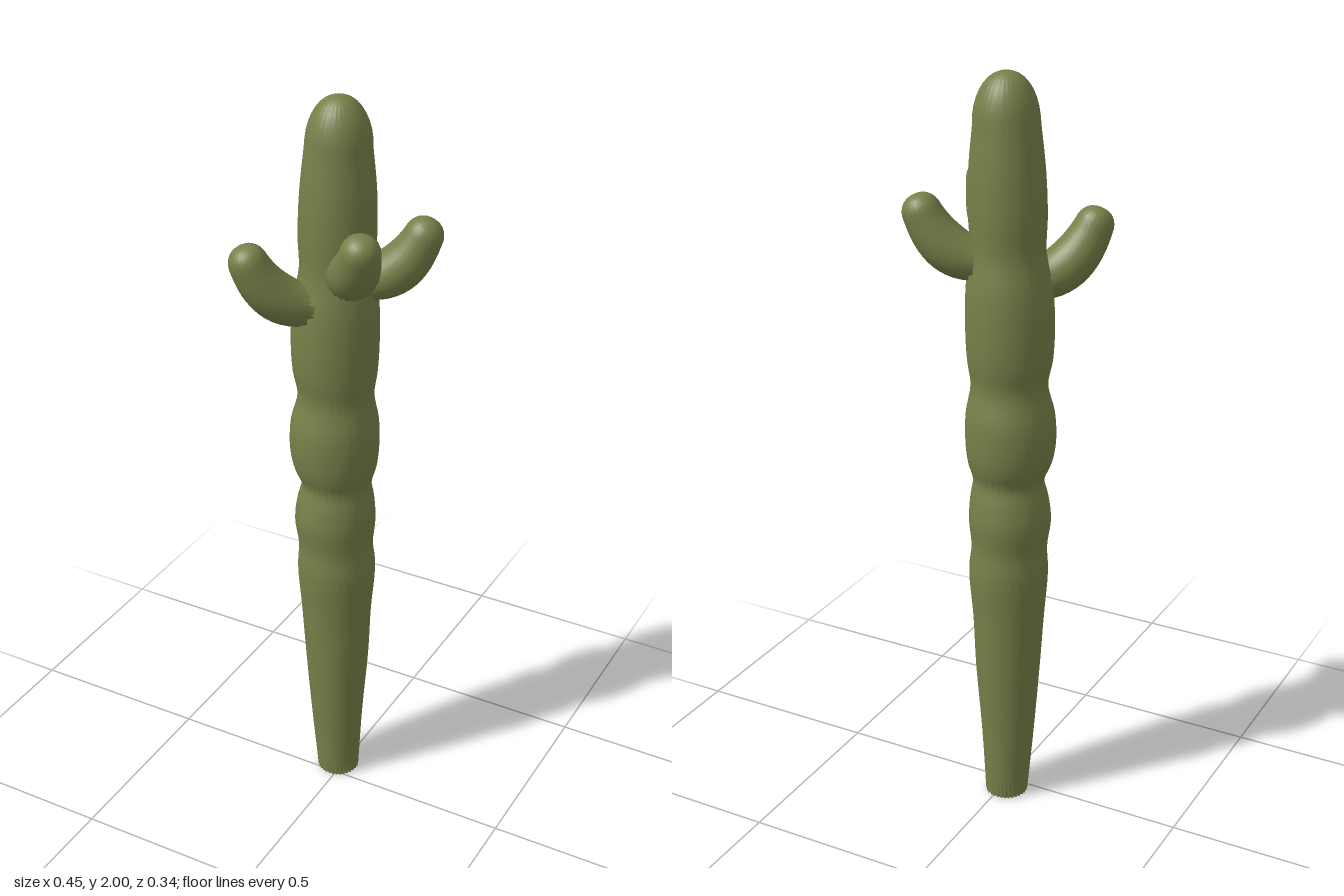
import * as THREE from 'three';

const green = new THREE.MeshStandardMaterial({ color: 0x778049 });
green.name = 'cactusGreen';

// Skin of zigzag ribs over rings of { c: centre, t: direction, r: outer radius }, closed by a tip
function ribbedSkin(rings, tip, side, ribs, depth) {
  const n = ribs * 2, pos = [], idx = [];
  const v = new THREE.Vector3(), p = new THREE.Vector3();
  rings.forEach(({ c, t, r }, j) => {
    v.crossVectors(t, side).normalize();
    for (let i = 0; i < n; i++) {
      const a = (i / n) * Math.PI * 2;
      const rr = i % 2 ? r * (1 - depth) : r;
      p.copy(c).addScaledVector(side, Math.cos(a) * rr).addScaledVector(v, Math.sin(a) * rr);
      pos.push(p.x, p.y, p.z);
      const k = j * n + i, k1 = j * n + (i + 1) % n;
      if (j < rings.length - 1) idx.push(k, k1, k + n, k1, k1 + n, k + n);
      else idx.push(k, k1, rings.length * n);
    }
  });
  pos.push(tip.x, tip.y, tip.z);
  const g = new THREE.BufferGeometry();
  g.setAttribute('position', new THREE.Float32BufferAttribute(pos, 3));
  g.setIndex(idx);
  g.computeVertexNormals();
  return g;
}

// Trunk profile: height, radius, centre x
const trunkProfile = [
  [0, 0.057, -0.014], [0.2, 0.071, -0.018], [0.4, 0.086, -0.018], [0.55, 0.094, -0.02],
  [0.69, 0.104, -0.02], [0.76, 0.099, -0.022], [0.84, 0.107, -0.024], [0.9, 0.101, -0.022],
  [0.95, 0.092, -0.02], [1.0, 0.108, -0.024], [1.06, 0.116, -0.026], [1.13, 0.114, -0.025],
  [1.21, 0.098, -0.022], [1.28, 0.108, -0.024], [1.37, 0.112, -0.024], [1.47, 0.108, -0.022],
  [1.56, 0.094, -0.019], [1.65, 0.097, -0.018], [1.76, 0.094, -0.016], [1.87, 0.083, -0.015],
];

function makeTrunk() {
  const up = new THREE.Vector3(0, 1, 0), z = -0.04;
  const curve = new THREE.CatmullRomCurve3(trunkProfile.map(([y, r, x]) => new THREE.Vector3(r, y, x)));
  const rings = curve.getPoints(76).map((q) => ({ c: new THREE.Vector3(q.z, q.y, z), t: up, r: q.x }));
  // Rounded crown
  for (let i = 1; i <= 8; i++) {
    const a = (i / 9) * Math.PI / 2;
    rings.push({ c: new THREE.Vector3(-0.014, 1.87 + 0.13 * Math.sin(a), z), t: up, r: 0.083 * Math.cos(a) ** 0.9 });
  }
  const trunk = new THREE.Mesh(
    ribbedSkin(rings, new THREE.Vector3(-0.014, 2, z), new THREE.Vector3(0, 0, 1), 32, 0.11), green);
  trunk.name = 'trunk';

  const base = new THREE.Mesh(new THREE.CircleGeometry(0.054, 32).rotateX(Math.PI / 2), green);
  base.position.set(-0.014, 0, z);
  base.name = 'trunkBase';
  return [trunk, base];
}

// Arm bending upward from inside the trunk to the centre of its rounded end
function makeArm(name, root, bend, end) {
  const curve = new THREE.QuadraticBezierCurve3(
    new THREE.Vector3(...root), new THREE.Vector3(...bend), new THREE.Vector3(...end));
  const side = new THREE.Vector3(end[2] - root[2], 0, root[0] - end[0]).normalize();
  const rings = [];
  for (let i = 0; i <= 14; i++) {
    const s = i / 14;
    rings.push({ c: curve.getPoint(s), t: curve.getTangent(s), r: 0.05 + 0.011 * Math.sin(Math.PI * s) });
  }
  const t = curve.getTangent(1), e = curve.v2;
  for (let i = 1; i <= 6; i++) {
    const a = (i / 7) * Math.PI / 2;
    rings.push({ c: e.clone().addScaledVector(t, 0.05 * Math.sin(a)), t, r: 0.05 * Math.cos(a) ** 0.8 });
  }
  const arm = new THREE.Mesh(ribbedSkin(rings, e.clone().addScaledVector(t, 0.051), side, 24, 0.09), green);
  arm.name = name;
  return arm;
}

export function createModel() {
  const cactus = new THREE.Group();
  cactus.name = 'cactus';
  cactus.add(
    ...makeTrunk(),
    makeArm('rightArm', [-0.055, 1.475, 0.01], [-0.13, 1.475, 0.085], [-0.172, 1.6, 0.122]),
    makeArm('frontLeftArm', [0.03, 1.575, 0.01], [0.09, 1.585, 0.075], [0.125, 1.685, 0.113]),
    makeArm('backLeftArm', [0.04, 1.535, -0.065], [0.125, 1.535, -0.1], [0.173, 1.65, -0.122]),
  );
  return cactus;
}
